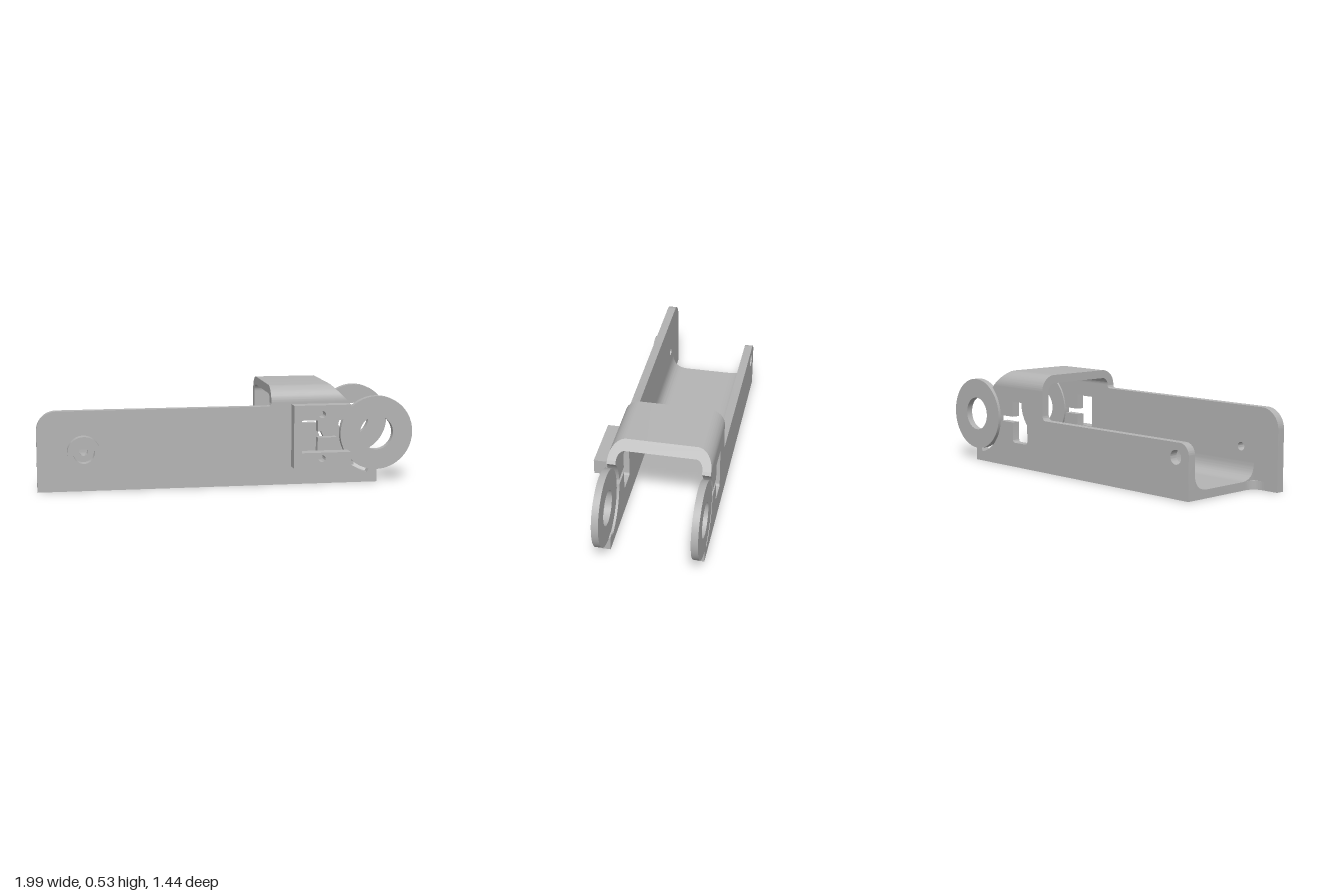
import * as THREE from 'three';
import { toCreasedNormals } from 'three/addons/utils/BufferGeometryUtils.js';

// Local frame: x runs along the bracket, y is up, z runs across it.
const FRONT = 0.226, BACK = -0.307, THICK = 0.045;
const RING = { x: 0.78, y: 0.268, r: 0.2, hole: 0.092, gap: 0.22 };
const rad = THREE.MathUtils.degToRad;

export function createModel() {
  const grey = new THREE.MeshStandardMaterial({ color: 0xb4b4b4 });
  grey.name = 'grey metal';
  const model = new THREE.Group();
  model.name = 'bracket';
  const body = new THREE.Group();
  body.name = 'bracketBody';
  body.rotation.y = -rad(32.2);
  model.add(body);

  const add = (name, geometry) => {
    const mesh = new THREE.Mesh(toCreasedNormals(geometry, 0.5), grey);
    mesh.name = name;
    body.add(mesh);
  };
  const extrude = (shape, depth) =>
    new THREE.ExtrudeGeometry(shape, { depth, bevelEnabled: false, curveSegments: 24 });
  const circle = (x, y, r) => new THREE.Path().absarc(x, y, r, 0, Math.PI * 2, true);
  const disc = (x, y, r, hole) => {
    const s = new THREE.Shape();
    s.absarc(x, y, r, 0, Math.PI * 2, false);
    s.holes.push(circle(x, y, hole));
    return s;
  };

  // Side plate outline: neck, gap round the ring, slit and window, then the step
  function plateShape(start, height, corner, fillet, holeRadius) {
    const s = new THREE.Shape();
    const c = 0.02;
    s.moveTo(start, 0);
    s.lineTo(0.785, 0);
    s.lineTo(0.785, 0.072);
    s.lineTo(0.742, 0.078);
    s.absarc(RING.x, RING.y, RING.gap, rad(257), rad(184.7), true);
    s.lineTo(0.455, 0.25);
    s.lineTo(0.455, 0.137 + c);
    s.quadraticCurveTo(0.455, 0.137, 0.455 - c, 0.137);
    s.lineTo(0.33 + c, 0.137);
    s.quadraticCurveTo(0.33, 0.137, 0.33, 0.137 + c);
    s.lineTo(0.33, 0.367);
    s.lineTo(0.455, 0.367);
    s.lineTo(0.455, 0.282);
    s.absarc(RING.x, RING.y, RING.gap, rad(176.4), rad(132.6), true);
    s.lineTo(0.62, 0.445);
    s.lineTo(0.2, 0.445);
    s.lineTo(0.2, height + fillet);
    s.quadraticCurveTo(0.2, height, 0.2 - fillet, height);
    s.absarc(start + corner, height - corner, corner, Math.PI / 2, Math.PI, false);
    s.holes.push(circle(-0.798, 0.21, holeRadius));
    return s;
  }
  add('frontSidePlate', extrude(plateShape(-1.04, 0.425, 0.105, 0.019, 0.022), THICK)
    .translate(0, 0, FRONT - THICK));
  add('backSidePlate', extrude(plateShape(-0.885, 0.285, 0.06, 0.03, 0.037), THICK)
    .translate(0, 0, BACK));

  // End rings, slightly thinner than the plates and flush with the outside
  const ringDepth = 0.036;
  for (const [name, z] of [['frontRing', FRONT - ringDepth], ['backRing', BACK]]) {
    add(name, extrude(disc(RING.x, RING.y, RING.r, RING.hole), ringDepth).translate(0, 0, z));
  }

  // Round boss on the front plate
  add('boss', extrude(disc(-0.798, 0.21, 0.086, 0.055), 0.05).translate(0, 0, FRONT));

  // Floor with flared corners
  const inBack = BACK + THICK, inFront = FRONT - THICK;
  const floor = new THREE.Shape();
  floor.moveTo(-0.885, inBack);
  floor.lineTo(-0.2, inBack);
  floor.quadraticCurveTo(-0.27, inBack, -0.27, inBack + 0.07);
  floor.lineTo(-0.27, inFront - 0.07);
  floor.quadraticCurveTo(-0.27, inFront, -0.2, inFront);
  floor.lineTo(-0.955, inFront);
  floor.quadraticCurveTo(-0.885, inFront, -0.885, inFront - 0.07);
  add('floor', extrude(floor, THICK).rotateX(Math.PI / 2).translate(0, THICK, 0));

  // Rounded inner corners between floor and plates
  for (const [name, z, dir] of [['backFloorBend', inBack, 1], ['frontFloorBend', inFront, -1]]) {
    const bend = new THREE.Shape();
    bend.moveTo(-z, THICK);
    bend.lineTo(-z, THICK + 0.09);
    bend.quadraticCurveTo(-z, THICK, -(z + dir * 0.09), THICK);
    add(name, extrude(bend, 0.615).rotateY(Math.PI / 2).translate(-0.885, 0, 0));
  }

  // Arched bridge joining the plates, with its far end cut on a slant
  const half = (FRONT - BACK) / 2, base = 0.445, top = 0.53, R = 0.085, r = R - THICK;
  const arch = new THREE.Shape();
  arch.moveTo(half, base);
  arch.absarc(half - R, top - R, R, 0, Math.PI / 2, false);
  arch.absarc(-half + R, top - R, R, Math.PI / 2, Math.PI, false);
  arch.lineTo(-half + THICK, base);
  arch.absarc(-half + R, top - R, r, Math.PI, Math.PI / 2, true);
  arch.absarc(half - R, top - R, r, Math.PI / 2, 0, true);
  const bridge = extrude(arch, 0.42).rotateY(Math.PI / 2).translate(0.2, 0, (FRONT + BACK) / 2);
  const p = bridge.attributes.position;
  for (let i = 0; i < p.count; i++) {
    if (p.getX(i) > 0.4) p.setX(i, p.getX(i) - (p.getY(i) - base));
  }
  add('bridge', bridge);

  // C-shaped clip holder on the front plate with two screw holes
  const clip = new THREE.Shape();
  [[0.31, 0.098], [0.62, 0.098], [0.62, 0.18], [0.353, 0.18],
    [0.353, 0.355], [0.62, 0.355], [0.62, 0.435], [0.31, 0.435]]
    .forEach(([x, y], i) => (i ? clip.lineTo(x, y) : clip.moveTo(x, y)));
  clip.holes.push(circle(0.463, 0.385, 0.019), circle(0.463, 0.148, 0.019));
  add('clipHolder', extrude(clip, 0.069).translate(0, 0, FRONT));

  return model;
}
